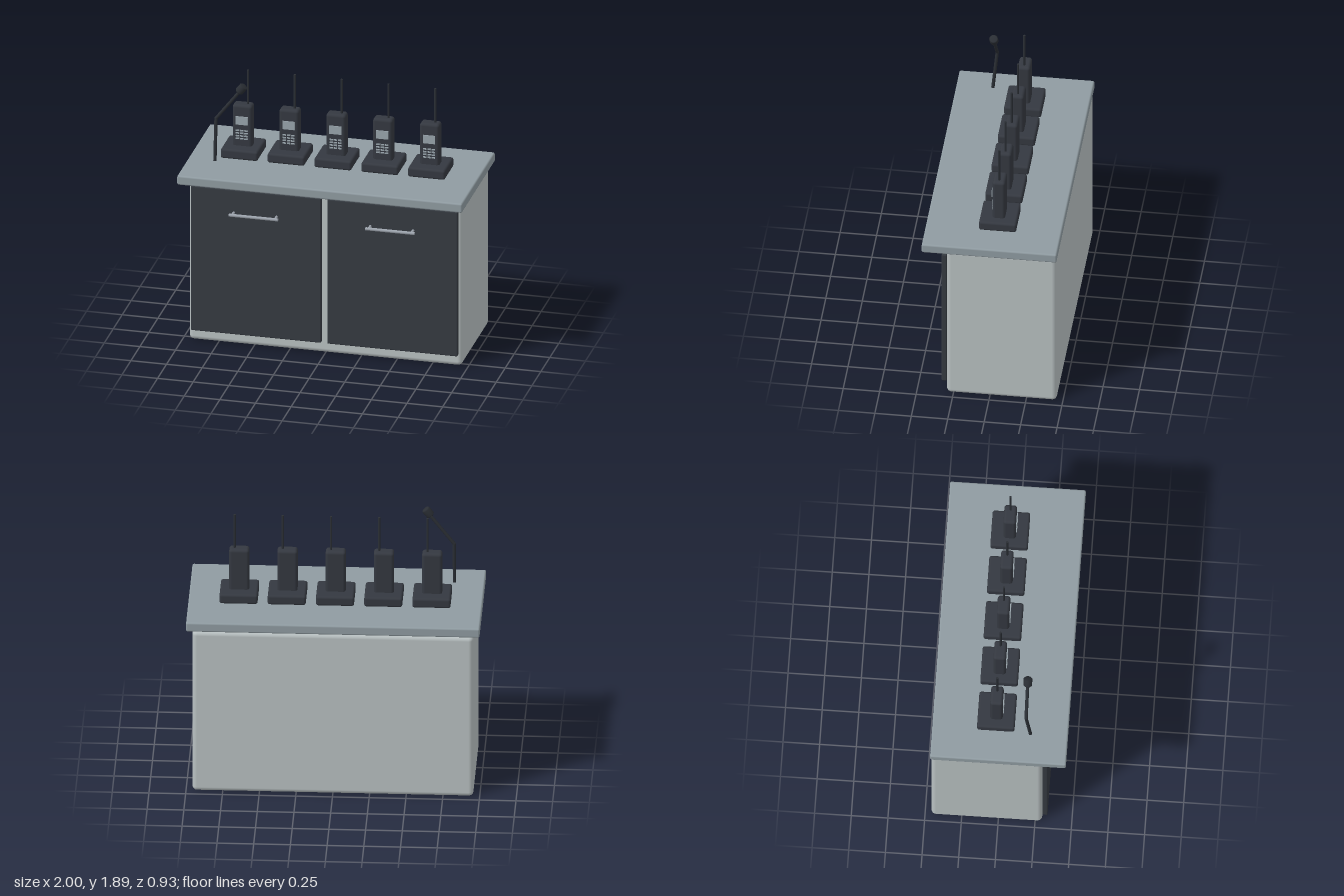
import * as THREE from 'three';
import { RoundedBoxGeometry } from 'three/addons/geometries/RoundedBoxGeometry.js';

const mat = (name, color) => {
  const m = new THREE.MeshStandardMaterial({ color });
  m.name = name;
  return m;
};

export function createModel() {
  const cabinetGrey = mat('cabinet grey', 0xb8c0c1);
  const counterGrey = mat('counter grey', 0x8f9ba1);
  const doorDark = mat('door charcoal', 0x353a41);
  const deviceDark = mat('device charcoal', 0x343840);
  const stemBlack = mat('stem black', 0x2a2e34);
  const metal = mat('handle metal', 0x9ba2ab);
  const panelGrey = mat('screen grey', 0x98a4ab);

  const root = new THREE.Group();
  root.name = 'radioStation';

  const add = (parent, name, geometry, material, x = 0, y = 0, z = 0) => {
    const m = new THREE.Mesh(geometry, material);
    m.name = name;
    m.position.set(x, y, z);
    parent.add(m);
    return m;
  };
  const rounded = (w, h, d, r, s = 3) => new RoundedBoxGeometry(w, h, d, s, r);

  // Round bar between two points
  const bar = (parent, name, a, b, r, material, sides = 14) => {
    const dir = b.clone().sub(a);
    const m = add(parent, name, new THREE.CylinderGeometry(r, r, dir.length(), sides), material);
    m.position.copy(a).add(b).multiplyScalar(0.5);
    m.quaternion.setFromUnitVectors(new THREE.Vector3(0, 1, 0), dir.normalize());
    return m;
  };
  const v = (x, y, z) => new THREE.Vector3(x, y, z);

  // Cabinet and worktop
  add(root, 'cabinet', rounded(1.914, 1.208, 0.755, 0.032, 4), cabinetGrey, 0, 0.604, -0.08);
  add(root, 'countertop', rounded(2, 0.068, 0.926, 0.012), counterGrey, 0, 1.242, 0);

  // Doors with bar handles
  for (const side of [-1, 1]) {
    const door = new THREE.Group();
    door.name = side < 0 ? 'rightDoor' : 'leftDoor';
    door.position.x = side * 0.479;
    root.add(door);
    add(door, 'doorPanel', rounded(0.914, 1.07, 0.036, 0.008), doorDark, 0, 0.62, 0.316);
    bar(door, 'handleBar', v(-0.172, 0.995, 0.398), v(0.172, 0.995, 0.398), 0.011, metal);
    for (const end of [-1, 1]) {
      bar(door, 'handlePost', v(end * 0.15, 0.995, 0.348), v(end * 0.15, 0.995, 0.4), 0.009, metal);
    }
  }

  // Five handheld radios standing in chargers
  const keyGeo = new THREE.BoxGeometry(0.024, 0.009, 0.008);
  for (let i = -2; i <= 2; i++) {
    const radio = new THREE.Group();
    radio.name = 'radio' + (i + 3);
    radio.position.set(i * 0.3285, 0, -0.03);
    root.add(radio);
    add(radio, 'chargerBase', rounded(0.26, 0.07, 0.256, 0.016), deviceDark, 0, 1.311, 0);
    add(radio, 'handset', rounded(0.137, 0.33, 0.086, 0.02, 4), deviceDark, 0, 1.48, 0);
    bar(radio, 'antenna', v(0.032, 1.63, 0), v(0.032, 1.895, 0), 0.008, stemBlack);
    add(radio, 'screen', new THREE.BoxGeometry(0.085, 0.06, 0.008), panelGrey, 0, 1.533, 0.046);
    for (let row = 0; row < 4; row++) {
      for (let col = -1; col <= 1; col++) {
        add(radio, 'key', keyGeo, panelGrey, col * 0.03, 1.4 + row * 0.02, 0.045);
      }
    }
  }

  // Bent gooseneck microphone
  const mic = new THREE.Group();
  mic.name = 'microphone';
  root.add(mic);
  const foot = v(-0.797, 1.303, 0.208), bend = v(-0.797, 1.605, 0.178), tip = v(-0.64, 1.808, 0.178);
  bar(mic, 'lowerStem', foot, bend, 0.0115, stemBlack);
  bar(mic, 'upperStem', bend, tip, 0.0115, stemBlack);
  add(mic, 'stemJoint', new THREE.SphereGeometry(0.0115, 14, 10), stemBlack, bend.x, bend.y, bend.z);
  const axis = tip.clone().sub(bend).normalize();
  const centre = v(-0.619, 1.84, 0.178);
  const at = (t) => centre.clone().addScaledVector(axis, t);
  // Head capsule with bevelled ends
  const head = add(mic, 'microphoneHead', new THREE.LatheGeometry([
    new THREE.Vector2(0, -0.031), new THREE.Vector2(0.024, -0.031), new THREE.Vector2(0.03, -0.024),
    new THREE.Vector2(0.03, 0.024), new THREE.Vector2(0.024, 0.031), new THREE.Vector2(0, 0.031),
  ], 18), stemBlack);
  head.position.copy(at(0));
  head.quaternion.setFromUnitVectors(v(0, 1, 0), axis);

  return root;
}
